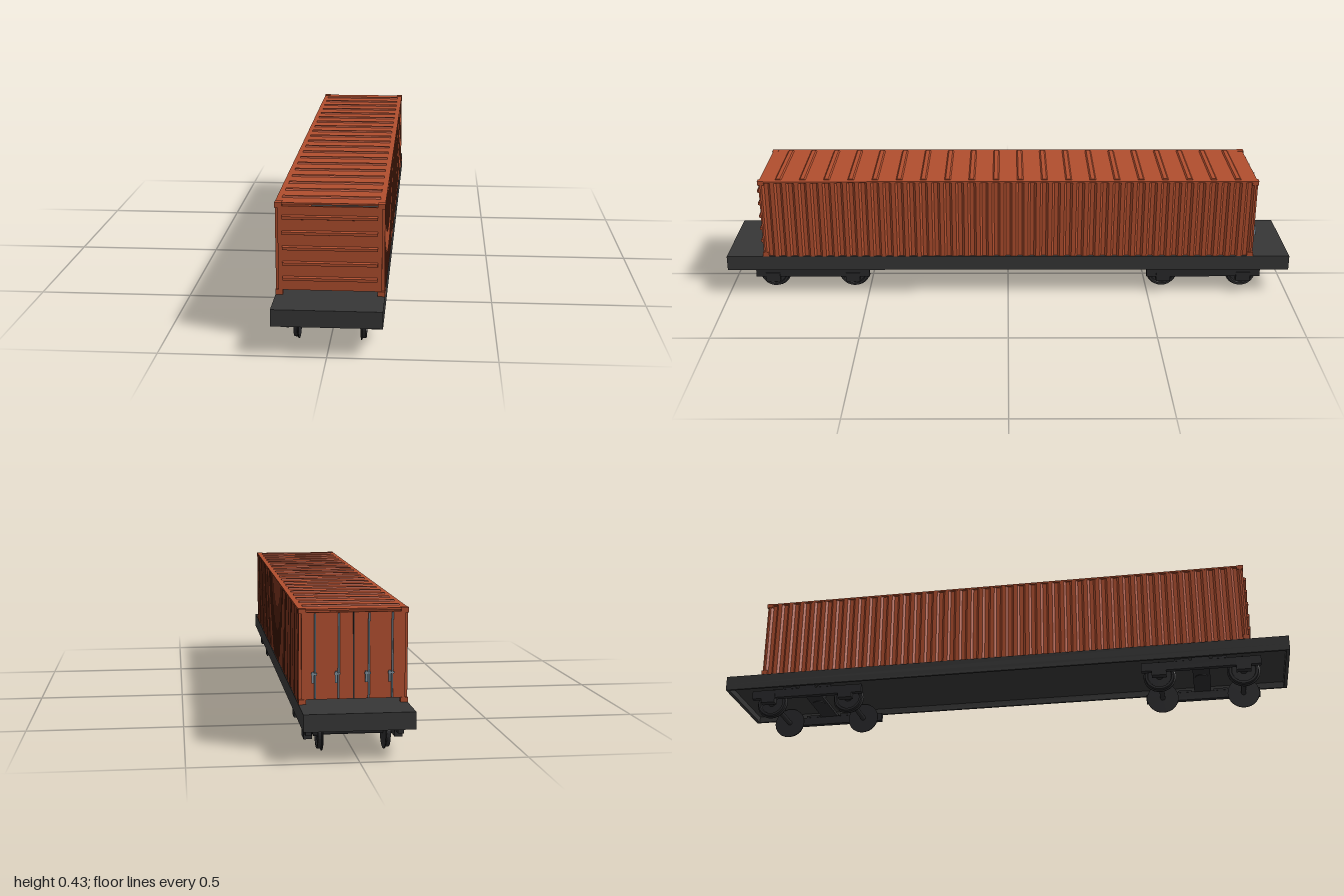
import * as THREE from 'three';

const mat = (name, color) => {
  const m = new THREE.MeshStandardMaterial({ color });
  m.name = name;
  return m;
};

export function createModel() {
  const rust = mat('rust paint', 0xb04e2e);
  const deckGrey = mat('deck grey', 0x363636);
  const iron = mat('dark iron', 0x29292b);
  const steel = mat('rod steel', 0x7f8f9b);

  const root = new THREE.Group();
  root.name = 'containerWagon';
  const group = (name, parent = root) => {
    const g = new THREE.Group();
    g.name = name;
    parent.add(g);
    return g;
  };
  const add = (parent, name, geo, m, x = 0, y = 0, z = 0) => {
    const mesh = new THREE.Mesh(geo, m);
    mesh.name = name;
    mesh.position.set(x, y, z);
    parent.add(mesh);
    return mesh;
  };
  // Box given by its minimum and maximum corners
  const box = (parent, name, m, x0, x1, y0, y1, z0, z1) =>
    add(parent, name, new THREE.BoxGeometry(x1 - x0, y1 - y0, z1 - z0), m,
      (x0 + x1) / 2, (y0 + y1) / 2, (z0 + z1) / 2);
  // Cylinder lying along x
  const rod = (parent, name, m, r, len, x, y, z, sides = 16) =>
    add(parent, name, new THREE.CylinderGeometry(r, r, len, sides).rotateZ(Math.PI / 2), m, x, y, z);

  // Deck: top slab with side and end sills, open underneath
  const deck = group('deck');
  box(deck, 'deckSlab', deckGrey, -0.164, 0.164, 0.115, 0.145, -1, 1);
  for (const s of [-1, 1]) {
    add(deck, 'sideSill', new THREE.BoxGeometry(0.008, 0.022, 2), deckGrey, s * 0.16, 0.104, 0);
    add(deck, 'endSill', new THREE.BoxGeometry(0.312, 0.022, 0.012), deckGrey, 0, 0.104, s * 0.994);
  }

  // Container side walls: corrugated sheets
  const container = group('container');
  const N = 41, L = 0.862, pitch = (2 * L) / N;
  const profile = new THREE.Shape();
  profile.moveTo(0.153, -L);
  for (let i = 0; i < N; i++) {
    const z = -L + i * pitch;
    profile.lineTo(0.163, z);
    profile.lineTo(0.163, z + pitch * 0.17);
    profile.lineTo(0.155, z + pitch * 0.34);
    profile.lineTo(0.155, z + pitch * 0.66);
    profile.lineTo(0.163, z + pitch * 0.83);
  }
  profile.lineTo(0.163, L);
  profile.lineTo(0.153, L);
  const wallGeo = new THREE.ExtrudeGeometry(profile, { depth: 0.281, bevelEnabled: false });
  wallGeo.rotateX(-Math.PI / 2);
  add(container, 'leftWall', wallGeo, rust, 0, 0.1455, 0);
  add(container, 'rightWall', wallGeo, rust, 0, 0.1455, 0).rotation.y = Math.PI;

  // Corner blocks
  for (const x of [-1, 1]) for (const z of [-1, 1]) for (const y of [0.153, 0.4235]) {
    add(container, 'cornerBlock', new THREE.BoxGeometry(0.022, 0.015, 0.022), rust,
      x * 0.153, y, z * 0.859);
  }

  // Pressed rib: trapezoid along x, rising along +y
  const ribGeo = (len, w, h) => {
    const s = new THREE.Shape([[-w / 2, 0], [w / 2, 0], [w * 0.3, h], [-w * 0.3, h]]
      .map(([a, b]) => new THREE.Vector2(a, b)));
    return new THREE.ExtrudeGeometry(s, { depth: len, bevelEnabled: false })
      .translate(0, 0, -len / 2).rotateY(Math.PI / 2);
  };

  // Roof with cross ribs
  box(container, 'roof', rust, -0.1635, 0.1635, 0.4245, 0.43, -0.866, 0.866);
  const roofRib = ribGeo(0.294, 0.022, 0.004);
  for (let i = 0; i < 20; i++) add(container, 'roofRib', roofRib, rust, 0, 0.43, -0.8 + (i * 1.6) / 19);

  // Front wall with horizontal ribs
  box(container, 'frontWall', rust, -0.155, 0.155, 0.16, 0.42, 0.86, 0.868);
  const frontRib = ribGeo(0.284, 0.014, 0.009).rotateX(Math.PI / 2);
  for (let i = 0; i < 5; i++) add(container, 'frontRib', frontRib, rust, 0, 0.196 + i * 0.0475, 0.868);

  // Rear doors with locking rods and handles
  const doors = group('rearDoors', container);
  for (const s of [-1, 1]) {
    add(doors, 'door', new THREE.BoxGeometry(0.153, 0.26, 0.008), rust, s * 0.0785, 0.29, -0.865);
    for (const x of [0.045, 0.115]) {
      add(doors, 'lockRod', new THREE.CylinderGeometry(0.003, 0.003, 0.255, 8), steel, s * x, 0.29, -0.873);
      add(doors, 'lockHandle', new THREE.BoxGeometry(0.007, 0.034, 0.006), steel, s * x + 0.008, 0.228, -0.878);
      add(doors, 'handleBracket', new THREE.BoxGeometry(0.018, 0.006, 0.006), steel, s * x + 0.004, 0.238, -0.876);
    }
  }
  box(doors, 'doorSeam', iron, -0.002, 0.002, 0.16, 0.42, -0.871, -0.863);

  // Wheel profile: flange on the inner side, tread outside
  const wheelGeo = new THREE.LatheGeometry(
    [[0, 0], [0.056, 0], [0.056, 0.003], [0.051, 0.005], [0.05, 0.016], [0.042, 0.016],
      [0.04, 0.011], [0.014, 0.011], [0.012, 0.026], [0, 0.026]]
      .map(([r, h]) => new THREE.Vector2(r, h)), 32).toNonIndexed();
  wheelGeo.computeVertexNormals();
  wheelGeo.rotateZ(-Math.PI / 2);

  // Two bogies
  for (const end of [-1, 1]) {
    const bogie = group(end > 0 ? 'frontBogie' : 'rearBogie');
    bogie.position.z = end * 0.7;
    box(bogie, 'bolster', iron, -0.147, 0.147, 0.087, 0.098, -0.03, 0.03);
    add(bogie, 'centrePlate', new THREE.CylinderGeometry(0.023, 0.023, 0.03, 20), iron, 0, 0.1, 0);
    for (const dz of [-0.143, 0.143]) {
      rod(bogie, 'axle', iron, 0.009, 0.24, 0, 0.056, dz);
      for (const s of [-1, 1]) {
        const wheel = add(bogie, 'wheel', wheelGeo, iron, s * 0.093, 0.056, dz);
        if (s < 0) wheel.rotation.y = Math.PI;
        add(bogie, 'journalBox', new THREE.BoxGeometry(0.025, 0.034, 0.05), iron, s * 0.137, 0.057, dz);
        add(bogie, 'springPad', new THREE.BoxGeometry(0.02, 0.008, 0.05), iron, s * 0.138, 0.091, dz * 0.45);
      }
    }
    for (const s of [-1, 1]) {
      add(bogie, 'sideFrame', new THREE.BoxGeometry(0.018, 0.03, 0.406), iron, s * 0.138, 0.073, 0);
    }
  }
  return root;
}
